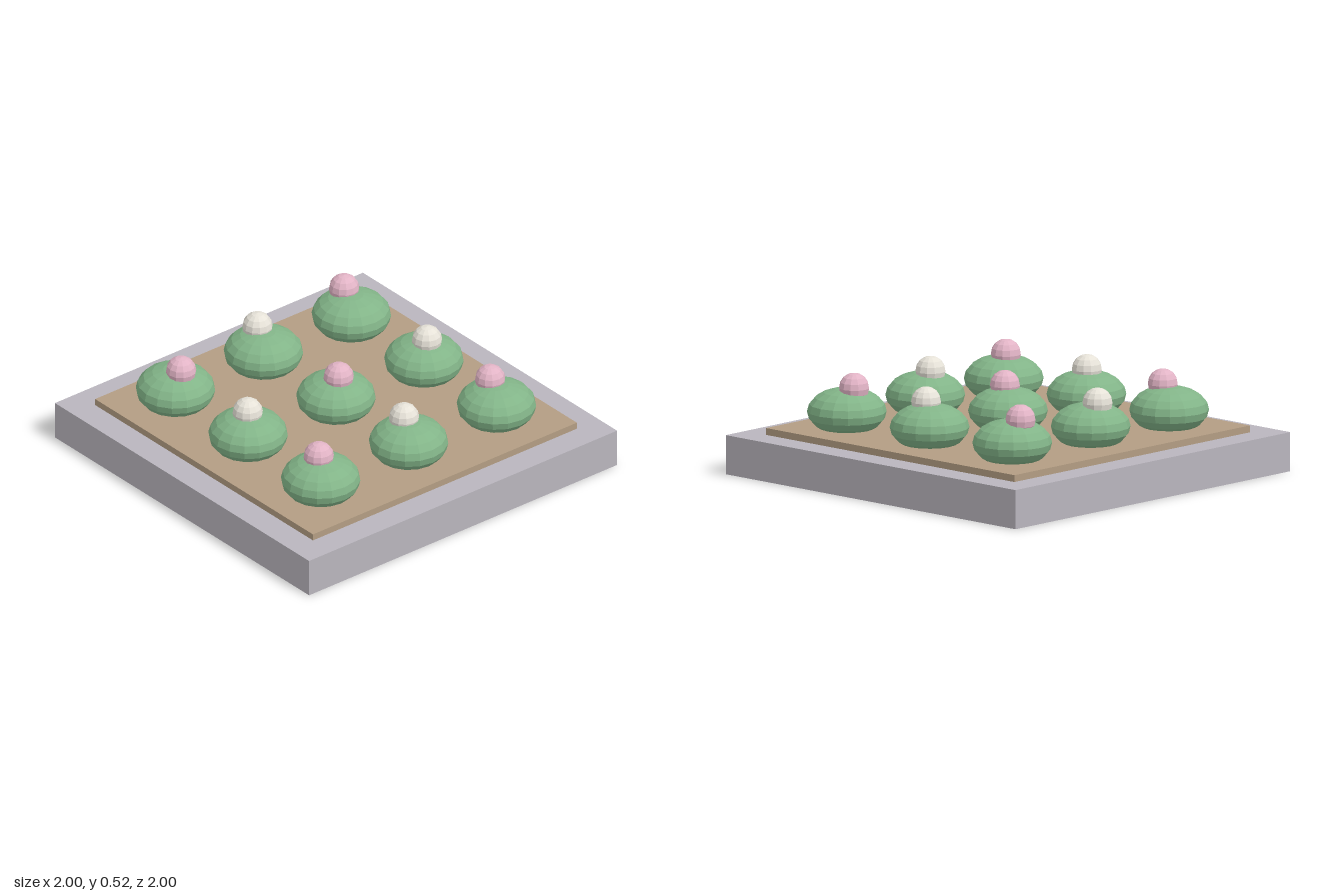
import * as THREE from 'three';

const material = (color) => new THREE.MeshStandardMaterial({ color, flatShading: true });

export function createModel() {
  const model = new THREE.Group();
  const add = (name, geometry, mat, x, y, z) => {
    const mesh = new THREE.Mesh(geometry, mat);
    mesh.name = name;
    mesh.position.set(x, y, z);
    model.add(mesh);
  };

  // Stone slab with a thin bed of soil
  add('slab', new THREE.BoxGeometry(2, 0.2, 2), material(0xb9b5bd), 0, 0.1, 0);
  add('soil', new THREE.BoxGeometry(1.714, 0.035, 1.714), material(0xb39d83), 0, 0.2175, 0);

  // Squat plants in a 3 x 3 grid, each with a round bloom on top
  const plant = new THREE.SphereGeometry(0.2, 16, 10).scale(1, 0.6, 1);
  const bloom = new THREE.SphereGeometry(0.077, 12, 8);
  const green = material(0x82b488);
  const pink = material(0xe2b4c6);
  const white = material(0xe6e2d8);

  // Sideways shift of each bloom, by row from back to front
  const shift = [
    [-0.057, 0.024, -0.05],
    [-0.047, 0.021, -0.036],
    [0.044, -0.003, -0.015],
  ];
  shift.forEach((row, r) => row.forEach((dx, c) => {
    const x = (c - 1) * 0.571, z = (r - 1) * 0.571;
    add('plant', plant, green, x, 0.32, z);
    add('bloom', bloom, (r + c) % 2 ? white : pink, x + dx, 0.445, z);
  }));

  return model;
}
